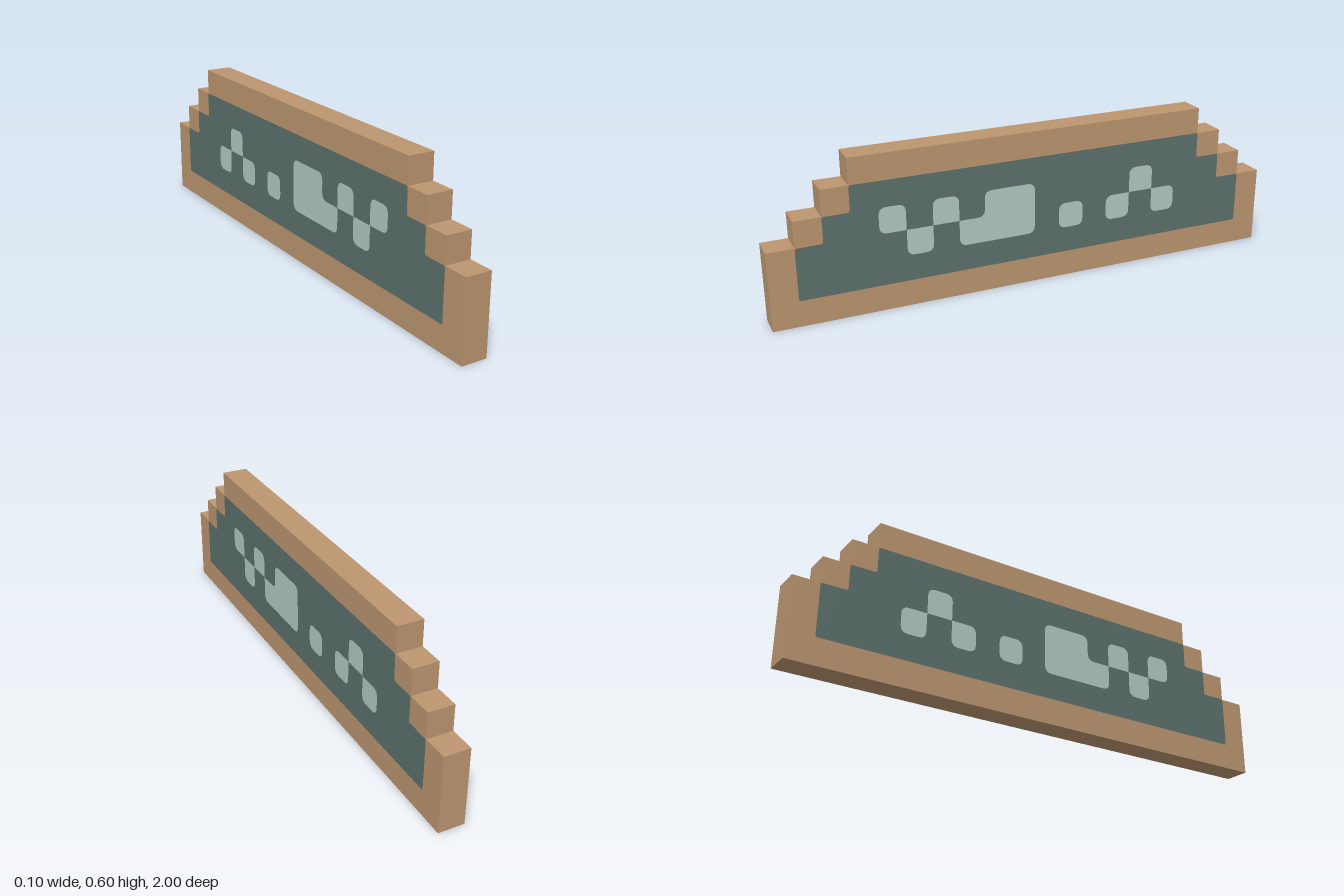
import * as THREE from 'three';

const DEPTH = 0.1;

// Closed outline from [z, y] corners, each corner rounded by radius(corner)
function roundedShape(points, side, radius) {
  const pts = points.map(([z, y]) => new THREE.Vector2(-side * z, y));
  const shape = new THREE.Shape();
  pts.forEach((p, i) => {
    const prev = pts[(i + pts.length - 1) % pts.length];
    const next = pts[(i + 1) % pts.length];
    const r = radius(points[i]);
    const a = p.clone().add(prev.clone().sub(p).setLength(r));
    const b = p.clone().add(next.clone().sub(p).setLength(r));
    if (i === 0) shape.moveTo(a.x, a.y);
    else shape.lineTo(a.x, a.y);
    if (r > 0) shape.quadraticCurveTo(p.x, p.y, b.x, b.y);
  });
  shape.closePath();
  return shape;
}

// Symmetric stepped outline: steps are [half length, top height] from the bottom up
function steppedOutline(bottom, steps) {
  const half = [];
  let y = bottom;
  for (const [z, top] of steps) {
    half.push([z, y], [z, top]);
    y = top;
  }
  return [...half, ...half.map(([z, h]) => [-z, h]).reverse()];
}

export function createModel() {
  const group = new THREE.Group();
  group.name = 'steppedSign';

  const wood = new THREE.MeshStandardMaterial({ color: 0xbc9670 });
  wood.name = 'tan wood';
  const slate = new THREE.MeshStandardMaterial({ color: 0x5c716d });
  slate.name = 'slate green';
  const pale = new THREE.MeshStandardMaterial({ color: 0xb3c9c5 });
  pale.name = 'pale green';

  // Stepped wooden board
  const boardOutline = steppedOutline(0, [[1, 0.3], [0.9, 0.4], [0.8, 0.5], [0.7, 0.6]]);
  const boardGeometry = new THREE.ExtrudeGeometry(roundedShape(boardOutline, 1, () => 0), {
    depth: DEPTH, bevelEnabled: false,
  });
  boardGeometry.translate(0, 0, -DEPTH / 2).rotateY(Math.PI / 2);
  const board = new THREE.Mesh(boardGeometry, wood);
  board.name = 'board';
  group.add(board);

  // Inset panel outline and pale marks, in [z, y]
  const panelOutline = steppedOutline(0.1, [[0.9, 0.3], [0.8, 0.4], [0.7, 0.5]]);
  const cell = (z, y) => [[z, y], [z + 0.1, y], [z + 0.1, y + 0.1], [z, y + 0.1]];
  const marks = [
    [0.5, 0.3], [0.4, 0.2], [0.3, 0.3], [-0.2, 0.2], [-0.4, 0.2], [-0.5, 0.3], [-0.6, 0.2],
  ].map(([z, y]) => cell(z, y));
  marks.push([[0, 0.2], [0.3, 0.2], [0.3, 0.3], [0.2, 0.3], [0.2, 0.4], [0, 0.4]]);

  // Corners where two marks touch stay sharp
  const same = (a, b) => Math.hypot(a[0] - b[0], a[1] - b[1]) < 0.001;
  const markRadius = (p) => (marks.flat().filter((q) => same(p, q)).length > 1 ? 0 : 0.03);

  // Both faces carry the same panel and marks
  for (const side of [1, -1]) {
    const face = new THREE.Group();
    face.name = side > 0 ? 'leftFace' : 'rightFace';
    face.rotation.y = side * Math.PI / 2;

    const panel = new THREE.Mesh(
      new THREE.ShapeGeometry(roundedShape(panelOutline, side, () => 0.01), 4), slate);
    panel.name = 'panel';
    panel.position.z = DEPTH / 2 + 0.001;
    face.add(panel);

    const shapes = marks.map((m) => roundedShape(m, side, markRadius));
    const markMesh = new THREE.Mesh(new THREE.ShapeGeometry(shapes, 6), pale);
    markMesh.name = 'marks';
    markMesh.position.z = DEPTH / 2 + 0.002;
    face.add(markMesh);
    group.add(face);
  }
  return group;
}
